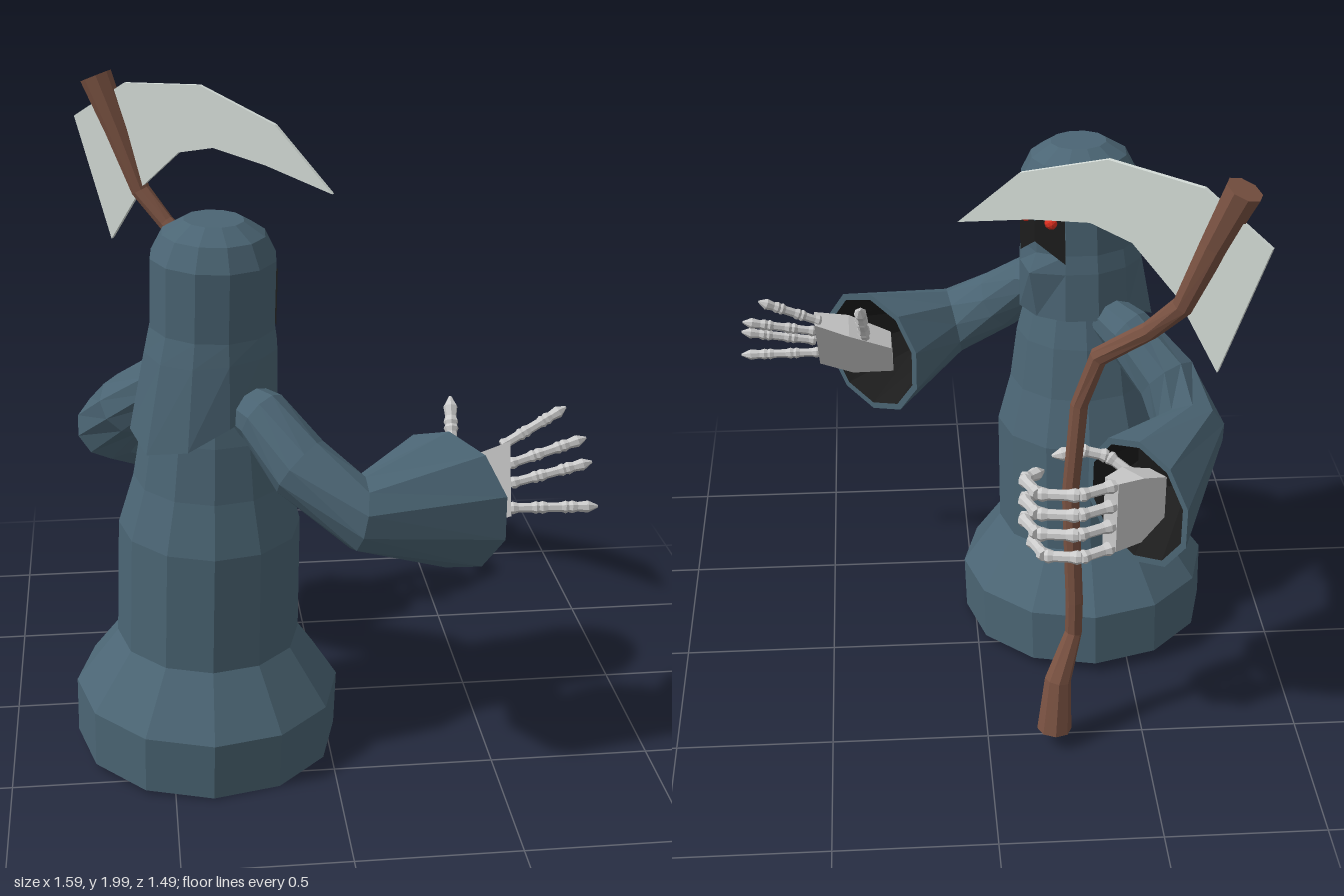
import * as THREE from 'three';
import { ConvexGeometry } from 'three/addons/geometries/ConvexGeometry.js';

const V = (x, y, z) => new THREE.Vector3(x, y, z);
const mat = (color) => new THREE.MeshStandardMaterial({ color, flatShading: true, side: THREE.DoubleSide });

// Ring of points around c, counter-clockwise about direction n
function ring(c, n, r, sides, ref = V(0, 1, 0), phase = 0) {
  n = n.clone().normalize();
  const u = ref.clone().addScaledVector(n, -ref.dot(n)).normalize();
  const v = n.clone().cross(u);
  return Array.from({ length: sides }, (_, j) => {
    const a = phase + (j / sides) * Math.PI * 2;
    return c.clone().addScaledVector(u, r * Math.cos(a)).addScaledVector(v, r * Math.sin(a));
  });
}

// Skin through rings of equal size, with optional end caps
function loft(rings, capStart = true, capEnd = true) {
  const pos = [], idx = [], n = rings[0].length;
  rings.forEach((r) => r.forEach((p) => pos.push(p.x, p.y, p.z)));
  for (let i = 0; i < rings.length - 1; i++)
    for (let j = 0; j < n; j++) {
      const k = (j + 1) % n, a = i * n, b = a + n;
      idx.push(a + j, a + k, b + k, a + j, b + k, b + j);
    }
  const cap = (r, start, flip) => {
    const c = r.reduce((s, p) => s.add(p), V(0, 0, 0)).divideScalar(n);
    const ci = pos.length / 3;
    pos.push(c.x, c.y, c.z);
    for (let j = 0; j < n; j++) {
      const k = (j + 1) % n;
      idx.push(ci, start + (flip ? k : j), start + (flip ? j : k));
    }
  };
  if (capStart) cap(rings[0], 0, true);
  if (capEnd) cap(rings[rings.length - 1], (rings.length - 1) * n, false);
  const g = new THREE.BufferGeometry();
  g.setAttribute('position', new THREE.Float32BufferAttribute(pos, 3));
  g.setIndex(idx);
  g.computeVertexNormals();
  return g;
}

export function createModel() {
  const root = new THREE.Group();
  root.name = 'hoodedReaper';
  const cloth = mat(0x4b6574), bone = mat(0xcccccc), wood = mat(0x7a5242);
  const dark = mat(0x1c1c1c), steel = mat(0xd5ddd8), red = mat(0xe03020);
  const add = (parent, name, geo, m) => {
    const mesh = new THREE.Mesh(geo, m);
    mesh.name = name;
    parent.add(mesh);
    return mesh;
  };
  const X = V(1, 0, 0), Y = V(0, 1, 0);

  // Robe and hood stand on a slightly leaning axis
  const figure = new THREE.Group();
  figure.name = 'figure';
  figure.position.set(-0.385, 0, 0.22);
  figure.quaternion.setFromUnitVectors(Y, V(0.03, 1, 0.04).normalize());
  root.add(figure);
  const robe = [[0.025, 0.413], [0.21, 0.415], [0.39, 0.285], [0.77, 0.28], [0.93, 0.235], [1.1, 0.21], [1.25, 0.17]];
  add(figure, 'robe', loft(robe.map(([y, r]) => ring(V(0, y, 0), Y, r, 12, X))), cloth);

  // Hood: flares to a low tip at the back and a ridge at the front
  const facing = 0.72;
  const around = (t, r, y) => V(Math.cos(facing + t) * r, y, -Math.sin(facing + t) * r);
  // rows: height, radius, front ridge, back drop, back flare
  const hoodRows = [
    [1.2, 0.205, 0.205, 0.13, 0.06], [1.36, 0.2, 0.235, 0.02, 0.01], [1.42, 0.19, 0.2, 0, 0],
    [1.63, 0.19, 0.2, 0, 0], [1.7, 0.155, 0.16, 0, 0], [1.74, 0.09, 0.09, 0, 0],
  ];
  const hoodRings = hoodRows.map(([y, r, front, drop, flare]) =>
    Array.from({ length: 12 }, (_, j) => {
      const t = (j / 12) * Math.PI * 2, back = Math.max(0, -Math.cos(t)) ** 2;
      return around(t, j === 0 ? front : r + flare * back, y - drop * back);
    }));
  add(figure, 'hood', loft(hoodRings), cloth);

  // Dark eye openings and glowing eyes
  for (const s of [1, -1]) {
    const edge = s * Math.PI / 6;
    const face = [around(0, 0.207, 1.53), around(0, 0.207, 1.46), around(edge, 0.198, 1.395), around(edge, 0.198, 1.575)];
    const g = new THREE.BufferGeometry().setFromPoints(face);
    g.setIndex(s > 0 ? [0, 1, 2, 0, 2, 3] : [0, 2, 1, 0, 3, 2]);
    g.computeVertexNormals();
    add(figure, 'eyeOpening', g, dark);
    add(figure, 'eye', new THREE.IcosahedronGeometry(0.022, 1), red).position.copy(around(s * 0.28, 0.193, 1.53));
  }

  // Sleeves: sections of centre, direction, radius; the last is the open cuff
  const sleeve = (name, sections) => {
    const rings = sections.map(([c, n, r]) => ring(c, n, r, 10));
    const [c, n, r] = sections[sections.length - 1];
    const inner = ring(c, n, r * 0.9, 10);
    add(root, name, loft([...rings, inner], true, false), cloth);
    const prev = sections[sections.length - 2];
    const deep = ring(c.clone().lerp(prev[0], 0.6), n.clone().lerp(prev[1], 0.5), r * 0.5, 10);
    add(root, name + 'Lining', loft([deep, inner], true, false), dark);
  };
  sleeve('rightSleeve', [
    [V(-0.27, 1.2, 0.38), V(0.7, -0.3, 0.7), 0.07],
    [V(-0.21, 1.18, 0.45), V(0.7, -0.5, 0.7), 0.085],
    [V(-0.11, 1.06, 0.55), V(0.75, -0.6, 0.5), 0.1],
    [V(0.05, 0.94, 0.63), V(1, -0.2, -0.1), 0.113],
    [V(0.34, 0.9, 0.48), V(0.707, 0, -0.707), 0.222],
  ]);
  sleeve('leftSleeve', [
    [V(-0.42, 1.2, 0.13), V(-0.7, -0.3, -0.7), 0.07],
    [V(-0.48, 1.17, 0.06), V(-0.7, -0.5, -0.7), 0.085],
    [V(-0.6, 1.05, -0.05), V(-0.5, -0.6, -0.75), 0.1],
    [V(-0.66, 0.93, -0.17), V(0.1, -0.2, -1), 0.11],
    [V(-0.455, 0.85, -0.45), V(0.77, 0, -0.63), 0.215],
  ]);

  // Bony digit: one waisted bone per span, the last one pointed
  const digit = (parent, name, pts, r = 0.02) => {
    for (let i = 0; i < pts.length - 1; i++) {
      const a = pts[i], b = pts[i + 1], n = b.clone().sub(a), last = i === pts.length - 2;
      const ref = Math.abs(n.clone().normalize().y) > 0.8 ? X : Y;
      const prof = last ? [[0, 0.8], [0.12, 1], [0.3, 0.75], [0.65, 0.95], [1, 0.2]]
        : [[0, 0.8], [0.12, 1], [0.3, 0.75], [0.75, 0.75], [0.9, 1], [1, 0.8]];
      add(parent, name, loft(prof.map(([t, k]) => ring(a.clone().lerp(b, t), n, r * k, 7, ref))), bone);
    }
  };
  const spans = (a, b, n = 3) => Array.from({ length: n + 1 }, (_, i) => a.clone().lerp(b, i / n));
  // Palm block between a wrist and a row of knuckles
  const palm = (parent, wrist, top, bottom, flat) => {
    const pts = [], mid = top.clone().lerp(bottom, 0.5);
    for (const s of [0.035, -0.035])
      for (const p of [top, bottom]) {
        pts.push(p.clone().addScaledVector(flat, s * 0.8));
        pts.push(wrist.clone().add(p.clone().sub(mid).multiplyScalar(0.6)).addScaledVector(flat, s));
        pts.push(wrist.clone().lerp(mid, 0.55).add(p.clone().sub(mid).multiplyScalar(0.95)).addScaledVector(flat, s * 1.3));
      }
    add(parent, 'palm', new ConvexGeometry(pts), bone);
  };

  // Open hand
  const openHand = new THREE.Group();
  openHand.name = 'openHand';
  root.add(openHand);
  palm(openHand, V(0.27, 0.89, 0.5), V(0.53, 1.06, 0.43), V(0.52, 0.86, 0.53), V(0, 0.46, 0.89));
  [
    [V(0.51, 1.05, 0.43), V(0.71, 1.15, 0.39)], [V(0.53, 1.0, 0.455), V(0.77, 1.06, 0.42)],
    [V(0.53, 0.95, 0.485), V(0.78, 1.0, 0.465)], [V(0.52, 0.885, 0.52), V(0.79, 0.88, 0.525)],
  ].forEach(([a, b]) => digit(openHand, 'finger', spans(a, b)));
  digit(openHand, 'thumb', spans(V(0.36, 0.95, 0.46), V(0.375, 1.16, 0.29)), 0.023);

  // Hand gripping the staff
  const gripHand = new THREE.Group();
  gripHand.name = 'grippingHand';
  root.add(gripHand);
  palm(gripHand, V(-0.52, 0.87, -0.43), V(-0.36, 1.0, -0.56), V(-0.36, 0.76, -0.56), V(0.63, 0, 0.77));
  [0.99, 0.92, 0.85, 0.77].forEach((y, i) => {
    const k = i === 3 ? 0.9 : 1;
    const curl = [[-0.37, -0.57], [-0.26, -0.61], [-0.14, -0.585], [-0.105, -0.49], [-0.17, -0.435]];
    digit(gripHand, 'finger', curl.map(([x, z], j) => V(-0.37 + (x + 0.37) * k, y - j * 0.006, z)), 0.023);
  });
  digit(gripHand, 'thumb', [V(-0.45, 0.93, -0.43), V(-0.37, 0.98, -0.385), V(-0.29, 1.0, -0.38), V(-0.2, 0.98, -0.375)], 0.023);

  // Crooked scythe staff
  const staff = [
    [-0.21, 0.06, -0.54, 0.055], [-0.22, 0.24, -0.52, 0.042], [-0.27, 0.39, -0.475, 0.027], [-0.27, 0.51, -0.475, 0.027],
    [-0.25, 0.9, -0.46, 0.026], [-0.27, 1.2, -0.45, 0.027], [-0.32, 1.37, -0.47, 0.03],
    [-0.45, 1.5, -0.565, 0.028], [-0.53, 1.6, -0.615, 0.032], [-0.6, 1.8, -0.65, 0.042], [-0.665, 1.975, -0.685, 0.054],
  ];
  const axis = staff.map(([x, y, z]) => V(x, y, z));
  add(root, 'scytheStaff', loft(staff.map((s, i) => {
    const n = axis[Math.min(i + 1, axis.length - 1)].clone().sub(axis[Math.max(i - 1, 0)]);
    return ring(axis[i], n, s[3], 8, X);
  })), wood);

  // Curved scythe blade in an upright plane
  const outline = [
    [-0.74, 1.83], [-0.57, 1.96], [-0.33, 1.98], [-0.1, 1.88], [0.07, 1.68],
    [-0.13, 1.745], [-0.29, 1.78], [-0.4, 1.75], [-0.52, 1.62], [-0.63, 1.42],
  ];
  const stretch = Math.hypot(1, 0.7);
  const shape = new THREE.Shape(outline.map(([x, y]) => new THREE.Vector2(x * stretch, y)));
  const bladeGeo = new THREE.ExtrudeGeometry(shape, { depth: 0.014, bevelEnabled: false });
  bladeGeo.translate(0, 0, -0.007);
  const blade = add(root, 'scytheBlade', bladeGeo, steel);
  blade.rotation.y = -Math.atan(0.7);
  blade.position.z = -0.232;

  return root;
}
